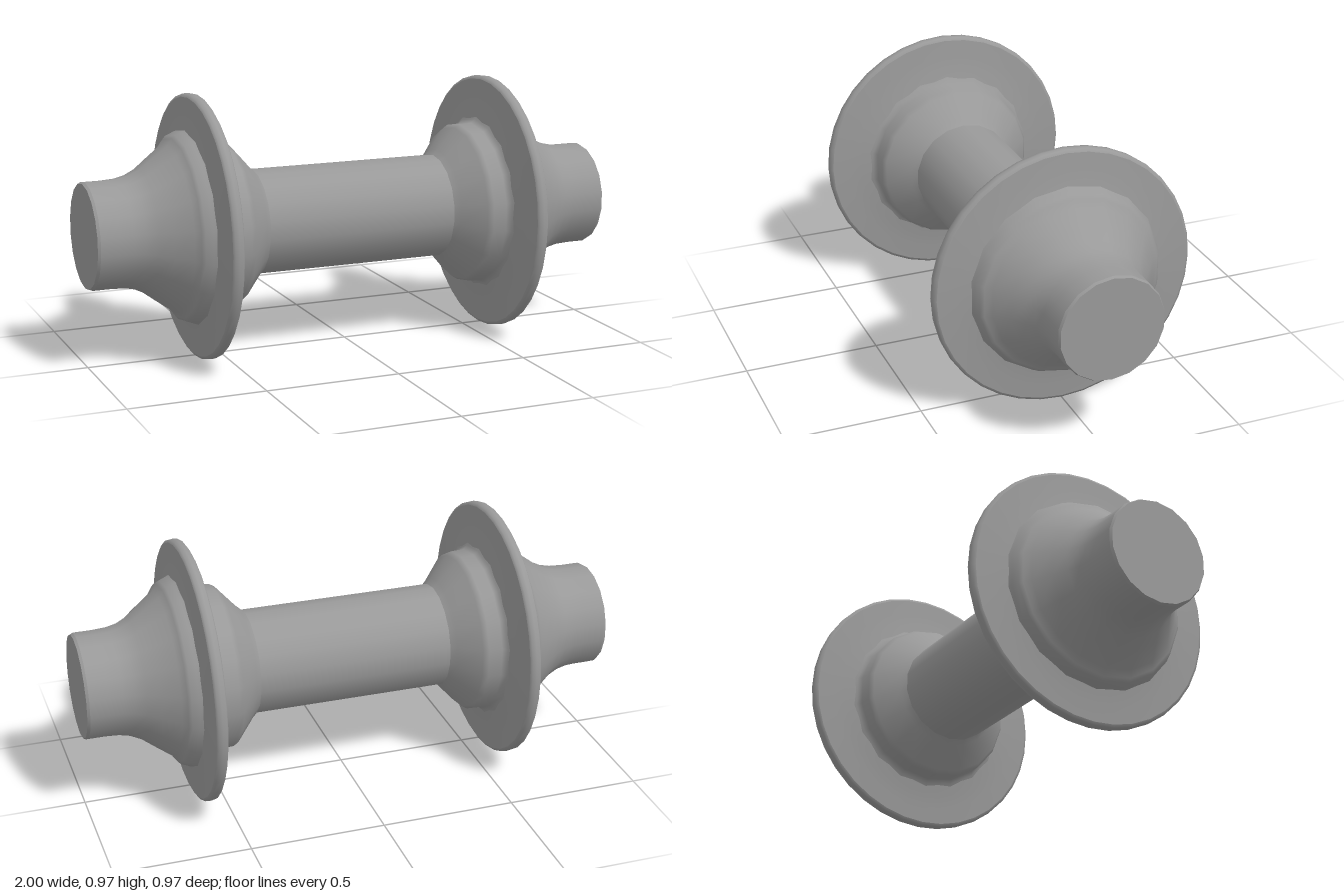
import * as THREE from 'three';

const AXIS_Y = 0.484;

// Profiles are [x along the axle, radius], from the middle outward
const hubInner = [[0.365, 0.194], [0.385, 0.212], [0.455, 0.292], [0.475, 0.304], [0.525, 0.306], [0.542, 0.32], [0.555, 0.35]];
const hubOuter = [[0.615, 0.358], [0.632, 0.35], [0.657, 0.34], [0.668, 0.328], [0.685, 0.304], [0.745, 0.26], [0.79, 0.226],
  [0.83, 0.207], [0.87, 0.198], [0.92, 0.195], [0.99, 0.195]];
const endBevel = [[0.99, 0.195], [1, 0.19]];
const flangeInner = [[0.54, 0.3], [0.552, 0.36], [0.558, 0.41], [0.564, 0.472]];
const flangeRim = [[0.564, 0.472], [0.57, 0.482], [0.585, 0.484], [0.6, 0.482], [0.606, 0.472]];
const flangeOuter = [[0.606, 0.472], [0.612, 0.41], [0.619, 0.36], [0.63, 0.3]];

export function createModel() {
  const group = new THREE.Group();
  const steel = new THREE.MeshStandardMaterial({ color: 0x999999 });
  steel.name = 'steel grey';

  // Revolve a profile about the x axis, with a corner at the top
  function turned(name, profile, sides, side = 1) {
    const pts = profile.map(([x, r]) => new THREE.Vector2(r, x * side));
    if (side < 0) pts.reverse();
    const geo = new THREE.LatheGeometry(pts, sides, Math.PI / 2, Math.PI * 2);
    geo.rotateZ(-Math.PI / 2);
    const mesh = new THREE.Mesh(geo, steel);
    mesh.name = name;
    return mesh;
  }

  group.add(turned('shaft', [[-0.37, 0.194], [0.37, 0.194]], 18));

  // Mirrored hub and flange at each end
  for (const side of [1, -1]) {
    const end = new THREE.Group();
    end.name = side > 0 ? 'leftWheel' : 'rightWheel';
    end.add(
      turned('hubInner', hubInner, 18, side),
      turned('hubOuter', hubOuter, 18, side),
      turned('endBevel', endBevel, 18, side),
      turned('flangeInner', flangeInner, 36, side),
      turned('flangeRim', flangeRim, 36, side),
      turned('flangeOuter', flangeOuter, 36, side),
    );
    const cap = new THREE.Mesh(new THREE.CircleGeometry(0.19, 18, Math.PI / 2), steel);
    cap.name = 'endCap';
    cap.rotation.y = side * Math.PI / 2;
    cap.position.x = side;
    end.add(cap);
    group.add(end);
  }

  group.children.forEach((part) => { part.position.y = AXIS_Y; });
  return group;
}
